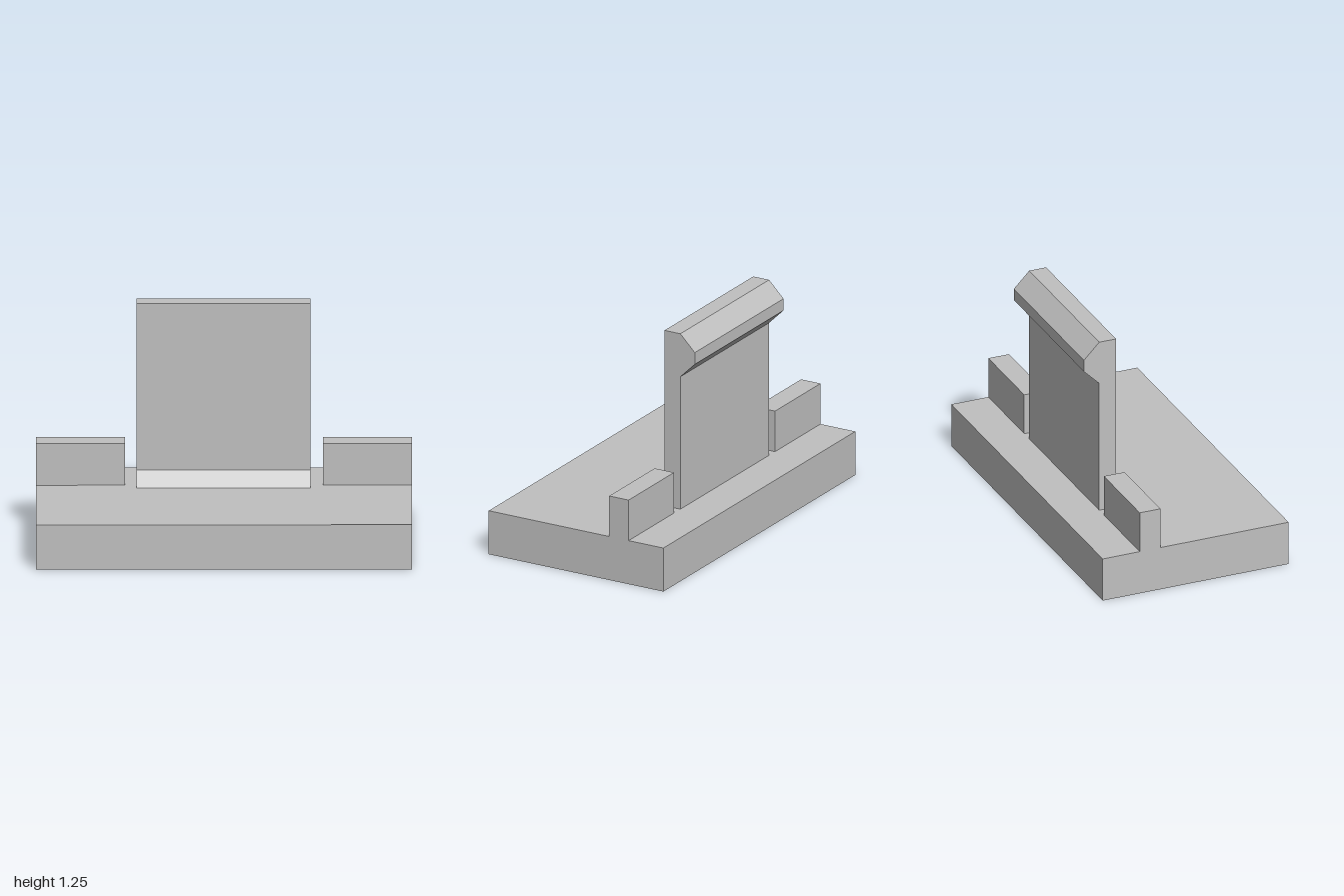
import * as THREE from 'three';

export function createModel() {
  const group = new THREE.Group();
  const grey = new THREE.MeshStandardMaterial({ color: 0xc0c0c0 });
  grey.name = 'plain grey';

  const add = (name, geometry, x, y, z) => {
    const mesh = new THREE.Mesh(geometry, grey);
    mesh.name = name;
    mesh.position.set(x, y, z);
    group.add(mesh);
  };

  // Base slab
  const baseHeight = 0.248;
  add('base', new THREE.BoxGeometry(2, baseHeight, 1.08), 0, baseHeight / 2, 0);

  // Low stop block on each side of the clip
  const blockWidth = 0.474, blockHeight = 0.231;
  for (const [name, side] of [['leftBlock', 1], ['rightBlock', -1]]) {
    add(name, new THREE.BoxGeometry(blockWidth, blockHeight, 0.12),
      side * (1 - blockWidth / 2), baseHeight + blockHeight / 2, -0.265);
  }

  // Upright clip: side profile (z, y) with a foot fillet in front and a hook behind
  const profile = new THREE.Shape([
    [-0.149, baseHeight], [-0.227, 0.327], [-0.227, 1.248], [-0.325, 1.248],
    [-0.414, 1.158], [-0.414, 1.091], [-0.325, 1.003], [-0.325, baseHeight],
  ].map(([z, y]) => new THREE.Vector2(z, y)));
  const clipWidth = 0.925;
  const clip = new THREE.ExtrudeGeometry(profile, { depth: clipWidth, bevelEnabled: false });
  clip.translate(0, 0, -clipWidth / 2).rotateY(-Math.PI / 2);
  add('clip', clip, -0.002, 0, 0);

  return group;
}
